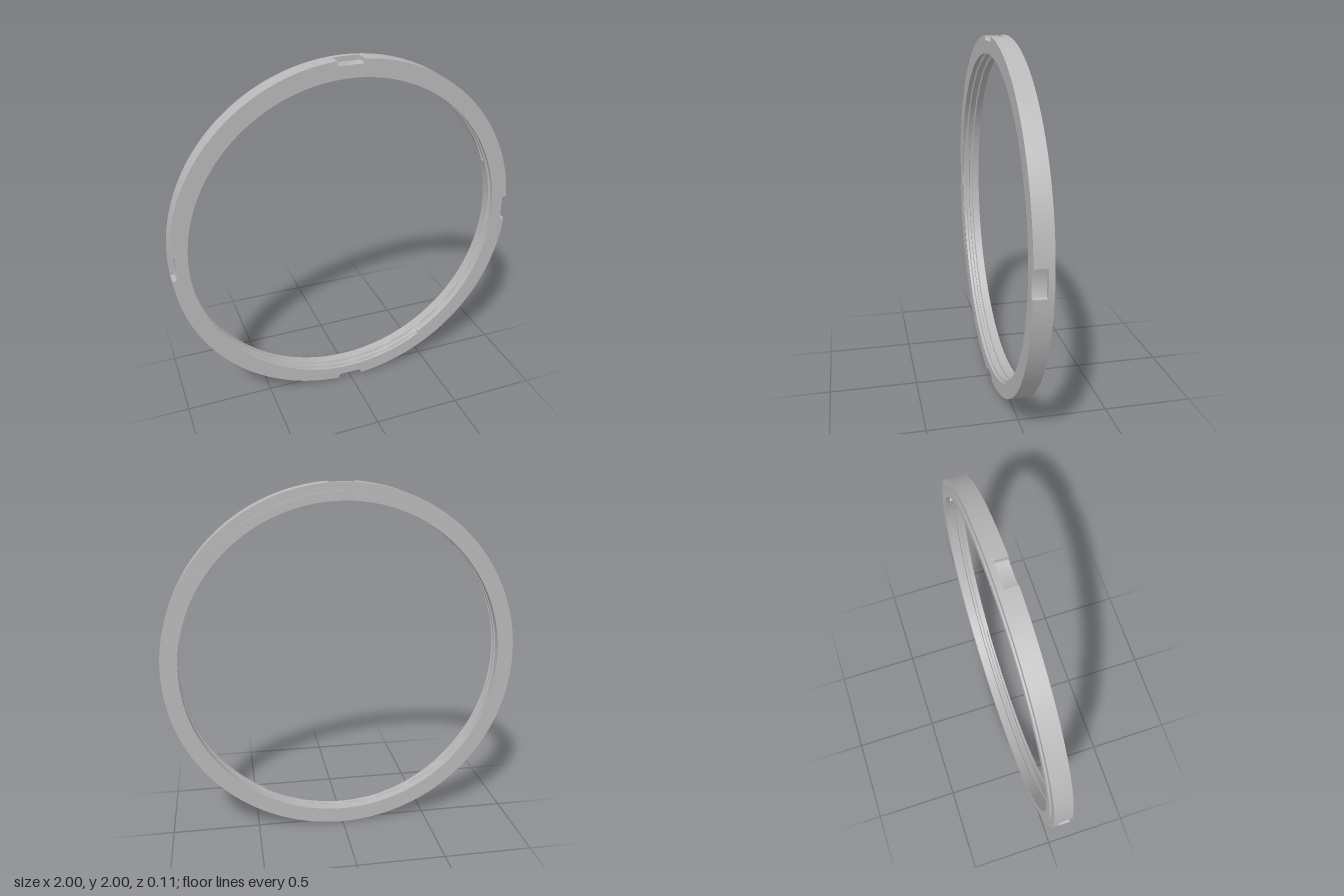
import * as THREE from 'three';
import { toCreasedNormals } from 'three/addons/utils/BufferGeometryUtils.js';

const TAU = Math.PI * 2;
const Z_BACK = -0.05, Z_FLANGE = -0.04, Z_NOTCH = -0.01, Z_FRONT = 0.06;
const R_BORE = 0.905, R_LIP = 0.955, NOTCH_HALF = 0.0725, NOTCH_R = 0.972;

// Helical thread groove cut into the bore
const thread = { start: -Math.PI / 3, turns: 1.78, pitch: 0.04, z0: 0.0565, root: 0.008, edge: 0.012, depth: 0.015 };

function boreRadius(angle, z) {
  const phi = ((((thread.start - angle) % TAU) + TAU) % TAU) / TAU;
  let cut = 0;
  for (let k = 0; k < 2; k++) {
    const t = phi + k;
    if (t > thread.turns) continue;
    const d = Math.abs(z - (thread.z0 - thread.pitch * t));
    cut = Math.max(cut, THREE.MathUtils.clamp((thread.edge - d) / (thread.edge - thread.root), 0, 1));
  }
  return R_BORE + thread.depth * cut;
}

// Closed band of quads from columns of [x, y, z] points
function band(columns, inward) {
  const rows = columns[0].length, index = [];
  columns.forEach((_, i) => {
    const next = (i + 1) % columns.length;
    for (let j = 0; j < rows - 1; j++) {
      const a = i * rows + j, b = next * rows + j, c = b + 1, d = a + 1;
      index.push(...(inward ? [a, c, b, a, d, c] : [a, b, c, a, c, d]));
    }
  });
  const geometry = new THREE.BufferGeometry();
  geometry.setAttribute('position', new THREE.Float32BufferAttribute(columns.flat(2), 3));
  geometry.setIndex(index);
  return toCreasedNormals(geometry, 0.5);
}

// Circle outline with four rounded-corner notches
function notchedOutline() {
  const a = Math.asin(NOTCH_HALF), c = 0.01, points = [];
  const steps = 46;
  for (let q = 0; q < 4; q++) {
    const turn = q * Math.PI / 2;
    const local = [
      [NOTCH_R + c, -NOTCH_HALF], [NOTCH_R + c * 0.3, -NOTCH_HALF + c * 0.3], [NOTCH_R, -NOTCH_HALF + c],
      [NOTCH_R, NOTCH_HALF - c], [NOTCH_R + c * 0.3, NOTCH_HALF - c * 0.3], [NOTCH_R + c, NOTCH_HALF],
    ];
    for (let i = 0; i <= steps; i++) {
      const t = a + (Math.PI / 2 - 2 * a) * i / steps;
      local.push([Math.cos(t), Math.sin(t)]);
    }
    for (const [x, y] of local) {
      points.push(new THREE.Vector2(x, y).rotateAround(new THREE.Vector2(), turn));
    }
  }
  return points;
}

export function createModel() {
  const group = new THREE.Group();
  const grey = new THREE.MeshStandardMaterial({ color: 0xb8b8b8 });
  grey.name = 'grey metal';
  const add = (name, geometry, z = 0) => {
    const mesh = new THREE.Mesh(geometry, grey);
    mesh.name = name;
    mesh.position.set(0, 1, z);
    group.add(mesh);
    return mesh;
  };

  // Back flange with its raised lip
  const profile = [[R_BORE, Z_BACK], [R_LIP, Z_BACK], [R_LIP, Z_FLANGE], [1, Z_FLANGE], [1, Z_NOTCH]];
  const flange = new THREE.LatheGeometry(profile.map(([r, z]) => new THREE.Vector2(r, z)), 192);
  flange.rotateX(Math.PI / 2);
  add('backFlange', toCreasedNormals(flange, 0.5));

  // Outer wall, stepping into the notches
  const outline = notchedOutline();
  add('outerWall', band(outline.map((p) => [[p.x, p.y, Z_NOTCH], [p.x, p.y, Z_FRONT]]), false));

  // Threaded bore, with extra columns at the blunt thread ends
  const angles = Array.from({ length: 240 }, (_, i) => TAU * (i + 0.37) / 240);
  for (const end of [thread.start, thread.start - thread.turns * TAU]) {
    for (const e of [-0.0015, 0.0015]) angles.push((((end + e) % TAU) + TAU) % TAU);
  }
  angles.sort((a, b) => a - b);
  const rows = 72;
  const columns = angles.map((t) => Array.from({ length: rows + 1 }, (_, j) => {
    const z = Z_BACK + (Z_FRONT - Z_BACK) * j / rows, r = boreRadius(t, z);
    return [r * Math.cos(t), r * Math.sin(t), z];
  }));
  add('threadedBore', band(columns, true));

  // Front face, open where the thread runs out
  const face = new THREE.Shape(outline);
  face.holes.push(new THREE.Path(columns.map((c) => new THREE.Vector2(c[rows][0], c[rows][1]))));
  add('frontFace', new THREE.ShapeGeometry(face), Z_FRONT);

  // Notch floors
  const a = Math.asin(NOTCH_HALF);
  const floor = [[NOTCH_R, NOTCH_HALF], [NOTCH_R, -NOTCH_HALF]];
  for (let i = 0; i <= 8; i++) {
    const t = -a + 2 * a * i / 8;
    floor.push([Math.cos(t), Math.sin(t)]);
  }
  const floorGeometry = new THREE.ShapeGeometry(new THREE.Shape(floor.map(([x, y]) => new THREE.Vector2(x, y))));
  for (let q = 0; q < 4; q++) add('notchFloor', floorGeometry, Z_NOTCH).rotation.z = q * Math.PI / 2;

  return group;
}
